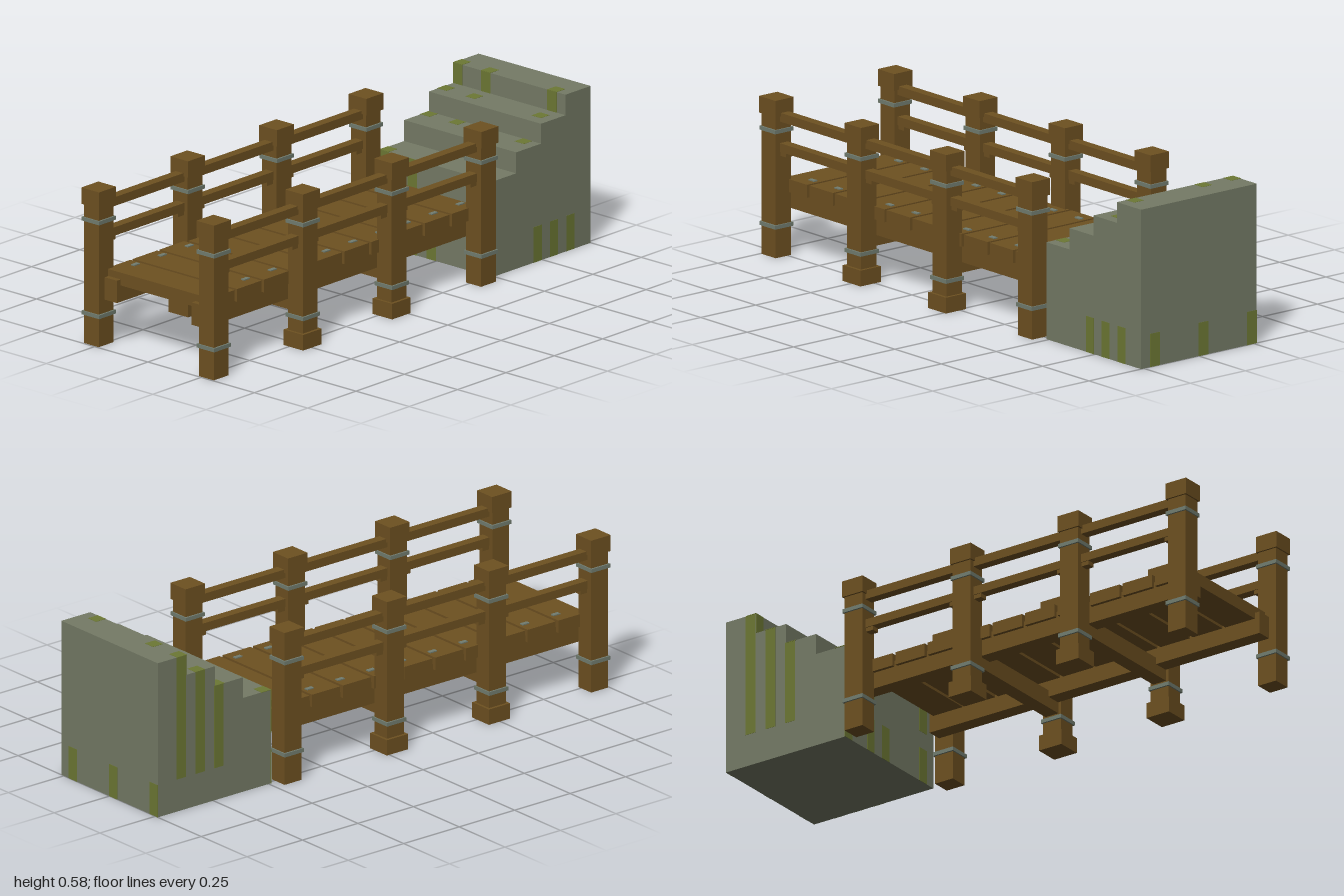
import * as THREE from 'three';

const mat = (name, color) => {
  const m = new THREE.MeshStandardMaterial({ color });
  m.name = name;
  return m;
};

export function createModel() {
  const wood = mat('wood', 0x6e5121);
  const stone = mat('stone', 0x757b66);
  const moss = mat('moss', 0x6d7834);
  const metal = mat('metal', 0x727d70);
  const model = new THREE.Group();
  model.name = 'footbridge';

  // Box given by its extents on each axis
  const box = (parent, name, material, [x0, x1], [y0, y1], [z0, z1]) => {
    const mesh = new THREE.Mesh(new THREE.BoxGeometry(x1 - x0, y1 - y0, z1 - z0), material);
    mesh.position.set((x0 + x1) / 2, (y0 + y1) / 2, (z0 + z1) / 2);
    mesh.name = name;
    parent.add(mesh);
    return mesh;
  };
  const around = (c, size) => [c - size / 2, c + size / 2];

  const postZ = [0.957, 0.497, 0.037, -0.425];
  for (const side of [-1, 1]) {
    const x = side * 0.27;
    // Posts with caps, metal bands and, on the inner ones, feet
    postZ.forEach((z, i) => {
      const post = new THREE.Group();
      post.name = 'post';
      model.add(post);
      const inner = i === 1 || i === 2;
      box(post, 'postShaft', wood, around(x, 0.07), [0, 0.53], around(z, 0.076));
      box(post, 'postCap', wood, around(x, 0.083), [0.51, 0.57], around(z, 0.088));
      for (const y of [0.112, 0.456])
        box(post, 'postBand', metal, around(x, 0.083), around(y, 0.014), around(z, 0.086));
      if (inner) box(post, 'postFoot', wood, around(x, 0.092), [0, 0.057], around(z, 0.096));
    });

    // Handrails and the little blocks holding the lower one
    box(model, 'upperRail', wood, around(side * 0.268, 0.036), [0.49, 0.522], [-0.425, 0.957]);
    box(model, 'lowerRail', wood, around(side * 0.268, 0.036), [0.381, 0.412], [-0.425, 0.957]);
    for (let i = 0; i < 3; i++)
      for (const z of [postZ[i] - 0.052, postZ[i + 1] + 0.052])
        box(model, 'railBlock', wood, around(side * 0.268, 0.03), [0.366, 0.381], around(z, 0.032));

    // Long beam under the deck
    box(model, 'deckBeam', wood, around(side * 0.204, 0.057), [0.168, 0.25], [-0.444, 0.967]);
  }

  // Cross beams between the inner posts
  for (const z of [postZ[1], postZ[2]])
    box(model, 'crossBeam', wood, [-0.24, 0.24], [0.127, 0.193], around(z, 0.055));

  // Deck planks, each with two nails
  for (let i = 0; i < 10; i++) {
    const z = -0.365 + i * 0.1388;
    box(model, 'plank', wood, [-0.245, 0.245], [0.228, 0.275], around(z, 0.126));
    for (const side of [-1, 1])
      box(model, 'nail', metal, around(side * 0.195, 0.016), [0.27, 0.279], around(z - 0.035, 0.03));
  }

  // Solid stone stairs: stepped side profile pushed across the width
  const halfWidth = 0.263;
  const stepZ = [-0.49, -0.615, -0.743, -0.87, -1];
  const stepY = [0.35, 0.427, 0.5, 0.575];
  const profile = new THREE.Shape();
  profile.moveTo(stepZ[4], 0);
  profile.lineTo(stepZ[0], 0);
  stepY.forEach((y, i) => {
    profile.lineTo(stepZ[i], y);
    profile.lineTo(stepZ[i + 1], y);
  });
  const stairGeo = new THREE.ExtrudeGeometry(profile, { depth: halfWidth * 2, bevelEnabled: false });
  stairGeo.rotateY(-Math.PI / 2).translate(halfWidth, 0, 0);
  const stairs = new THREE.Mesh(stairGeo, stone);
  stairs.name = 'stoneStairs';
  model.add(stairs);

  // Moss patches, thin plates on the stone faces
  const t = 0.001;
  const cell = 0.044;
  const plate = (z) => [z - t, z + t];
  for (const x of [-0.243, -0.111, 0.2]) {
    box(model, 'riserMoss', moss, around(x, cell), [0, 0.127], plate(stepZ[0]));
    box(model, 'riserMoss', moss, around(x, cell), [0.19, stepY[0]], plate(stepZ[0]));
    box(model, 'riserMoss', moss, around(x, cell), [0.5, stepY[3]], plate(stepZ[3]));
    for (const [z, y] of [[-0.892, 0.575], [-0.81, 0.5], [-0.722, 0.427], [-0.512, 0.35]]) {
      if (z === -0.512 && x === -0.111) continue;
      box(model, 'treadMoss', moss, around(x, cell), plate(y), around(z, cell));
    }
  }
  box(model, 'riserMoss', moss, [-0.044, 0], [0, 0.127], plate(stepZ[0]));
  for (const x of [-0.241, -0.02, 0.2])
    box(model, 'backMoss', moss, around(x, cell), [0, 0.12], plate(stepZ[4]));
  for (const [z, top] of [[-0.725, 0.427], [-0.81, 0.5], [-0.895, 0.575]]) {
    box(model, 'leftSideMoss', moss, plate(halfWidth), [0, 0.13], around(z, 0.042));
    box(model, 'rightSideMoss', moss, plate(-halfWidth), [0.12, top], around(z, 0.042));
  }

  return model;
}
